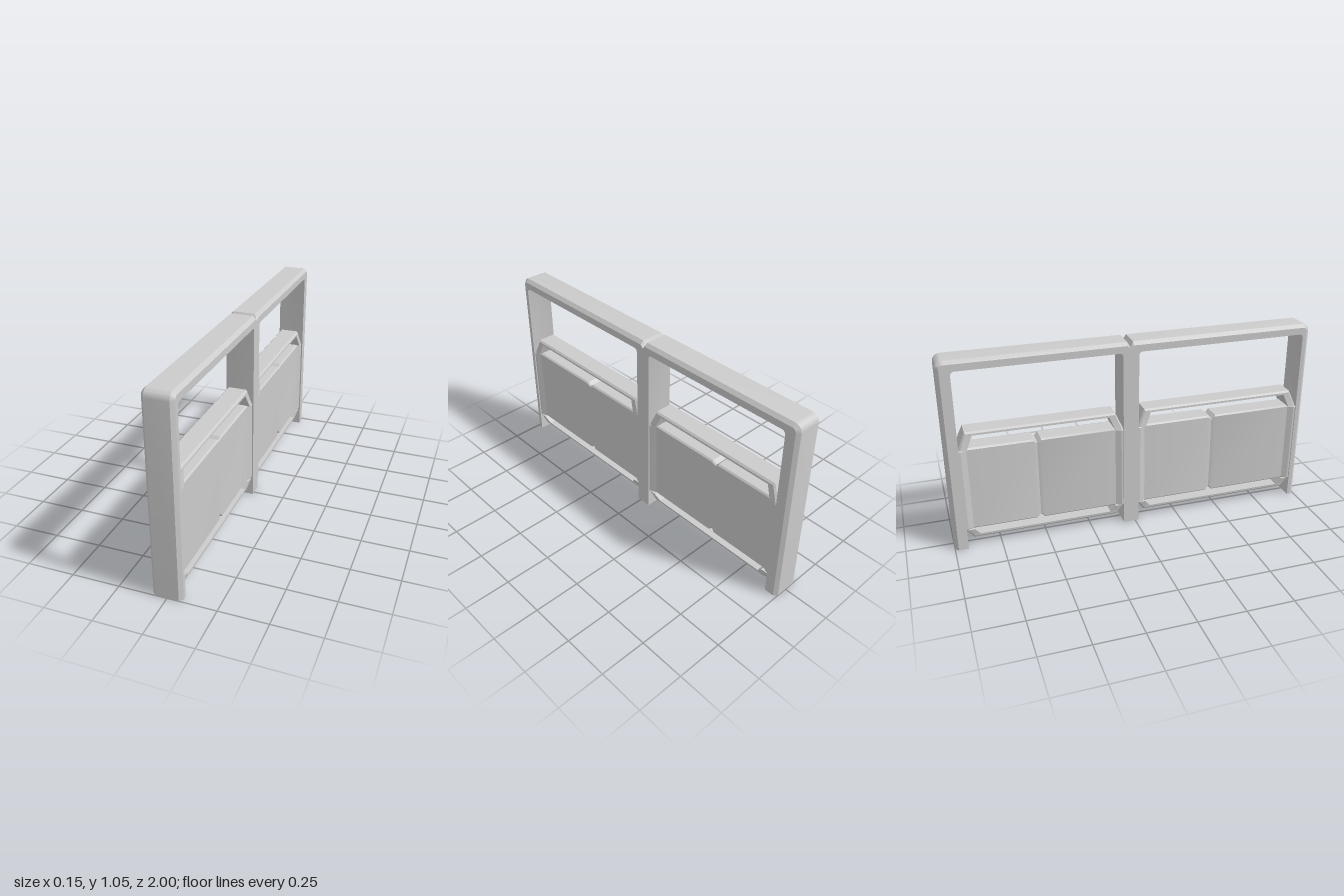
import * as THREE from 'three';
import { toCreasedNormals } from 'three/addons/utils/BufferGeometryUtils.js';

const HALF = 0.077, FLAT = 0.06, TOP = 1.055, SEAM = -0.025;
const material = new THREE.MeshStandardMaterial({ color: 0xcccccc });

function addMesh(parent, name, geometry) {
  const mesh = new THREE.Mesh(geometry, material);
  mesh.name = name;
  parent.add(mesh);
}

// Solid skinned over equal-length convex cross-sections, with capped ends
function skin(rings) {
  const n = rings[0].length, index = [];
  for (let i = 0; i < rings.length - 1; i++) {
    for (let j = 0; j < n; j++) {
      const a = i * n + j, b = i * n + (j + 1) % n;
      index.push(a, b, a + n, b, b + n, a + n);
    }
  }
  const last = (rings.length - 1) * n;
  for (let j = 1; j < n - 1; j++) {
    index.push(0, j + 1, j, last, last + j, last + j + 1);
  }
  // Turn the faces outward if the signed volume is negative
  const pts = rings.flat().map(p => new THREE.Vector3(...p));
  let volume = 0;
  for (let i = 0; i < index.length; i += 3) {
    const [a, b, c] = [pts[index[i]], pts[index[i + 1]], pts[index[i + 2]]];
    volume += a.dot(b.clone().cross(c));
  }
  if (volume < 0) index.reverse();
  const geometry = new THREE.BufferGeometry().setFromPoints(pts);
  geometry.setIndex(index);
  return toCreasedNormals(geometry, 0.45);
}

// Bar section: full width inside, chamfered outside; points are [z, y]
function barRing(outer, line, inner, half, flat) {
  return [
    [-flat, outer[1], outer[0]], [flat, outer[1], outer[0]],
    [half, line[1], line[0]], [half, inner[1], inner[0]],
    [-half, inner[1], inner[0]], [-half, line[1], line[0]],
  ];
}

// Outer posts and top beam as one swept arch, with a V seam on top
function outerFrame() {
  const inset = 0.018, rings = [];
  const add = (o, l, i) => rings.push(barRing(o, l, i, HALF, FLAT));
  const corner = (side, innerZ, k) => {
    const a = k / 6 * Math.PI / 2, c = Math.cos(a), s = Math.sin(a);
    const at = (edge, top, r) => [side * (edge - r + r * c), top - r + r * s];
    add(at(1, TOP, 0.04), at(1 - inset, TOP - inset, 0.022), at(innerZ, 1, 0.02));
  };
  add([1, 0], [1 - inset, 0], [0.96, 0]);
  for (let k = 0; k <= 6; k++) corner(1, 0.96, k);
  for (const [dz, dip] of [[0.016, 0], [0, 0.025], [-0.016, 0]]) {
    const z = SEAM + dz;
    add([z, TOP - dip], [z, TOP - inset - dip * 0.6], [z, 1]);
  }
  for (let k = 6; k >= 0; k--) corner(-1, 0.93, k);
  add([-1, 0], [-1 + inset, 0], [-0.93, 0]);
  return skin(rings);
}

// Middle post, filleted into the beam
function middlePost() {
  const s = new THREE.Shape(), a = -0.02, b = 0.065, r = 0.02;
  s.moveTo(a, 0);
  s.lineTo(b, 0);
  s.lineTo(b, 1 - r);
  s.quadraticCurveTo(b, 1, b + r, 1);
  s.lineTo(b + r, 1.005);
  s.lineTo(a - r, 1.005);
  s.lineTo(a - r, 1);
  s.quadraticCurveTo(a, 1, a, 1 - r);
  const g = new THREE.ExtrudeGeometry(s, { depth: 2 * HALF, bevelEnabled: false, curveSegments: 5 });
  g.translate(0, 0, -HALF).rotateY(Math.PI / 2); // shape x becomes -z
  return toCreasedNormals(g, 0.45);
}

// Infill panel, recessed between sloping edges, with a vertical V joint
function infillPanel(a, b, joint) {
  const stations = [
    [a, 0.07, 0], [a - 0.012, 0.07, 0], [a - 0.042, 0.055, 0],
    [joint + 0.02, 0.055, 0], [joint, 0.048, 0.018], [joint - 0.02, 0.055, 0],
    [b + 0.042, 0.055, 0], [b + 0.012, 0.07, 0], [b, 0.07, 0],
  ];
  const e = 0.008;
  return skin(stations.map(([z, h, dip]) => {
    const top = 0.575 - dip, low = 0.105 + dip;
    return [
      [-h + e, top, z], [h - e, top, z], [h, top - e, z], [h, low + e, z],
      [h - e, low, z], [-h + e, low, z], [-h, low + e, z], [-h, top - e, z],
    ];
  }));
}

// Rail with slanted ends, running from the panel edge at y = root to y = edge
function rail(a, b, root, edge) {
  const up = Math.sign(edge - root);
  const end = (z, s) => [
    barRing([z, root], [z + s * 0.01, root], [z + s * 0.045, root], 0.07, 0.06),
    barRing([z + s * 0.04, edge], [z + s * 0.045, edge - up * 0.009],
      [z + s * 0.075, edge - up * 0.02], 0.057, 0.048),
  ];
  return skin([...end(a, -1), ...end(b, 1).reverse()]);
}

export function createModel() {
  const model = new THREE.Group();
  model.name = 'railing';
  addMesh(model, 'outerFrame', outerFrame());
  addMesh(model, 'middlePost', middlePost());

  // Two bays: front edge, back edge and joint position along z
  const bays = [['frontBay', 0.962, 0.018, 0.453], ['backBay', -0.063, -0.932, -0.527]];
  for (const [name, a, b, joint] of bays) {
    const bay = new THREE.Group();
    bay.name = name;
    addMesh(bay, 'infillPanel', infillPanel(a, b, joint));
    addMesh(bay, 'upperRail', rail(a, b, 0.572, 0.665));
    addMesh(bay, 'lowerRail', rail(a, b, 0.108, 0.05));
    model.add(bay);
  }
  return model;
}
